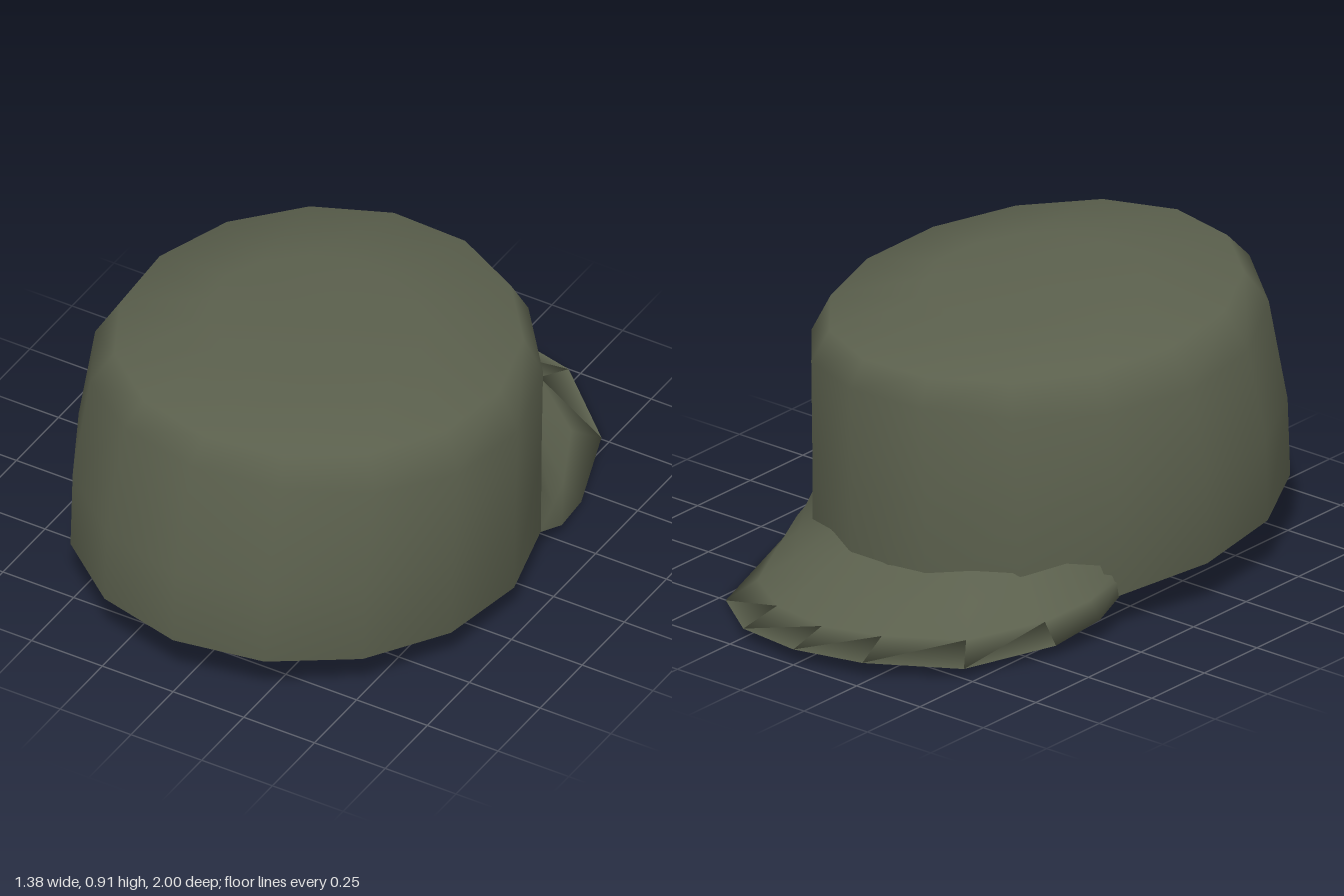
import * as THREE from 'three';
import { mergeVertices } from 'three/addons/utils/BufferGeometryUtils.js';

const SIDES = 15;
const TILT = -0.035; // the cap sits slightly lower on its left

// Skin a list of equal-length rows of points with smooth normals
function loft(rows, closed) {
  const n = rows[0].length, index = [];
  for (let j = 0; j < rows.length - 1; j++) {
    for (let i = 0; i < (closed ? n : n - 1); i++) {
      const k = (i + 1) % n;
      const a = j * n + i, b = j * n + k, c = b + n, d = a + n;
      index.push(a, b, c, a, c, d);
    }
  }
  let geo = new THREE.BufferGeometry();
  geo.setAttribute('position', new THREE.Float32BufferAttribute(rows.flat(2), 3));
  geo.setIndex(index);
  geo = mergeVertices(geo, 1e-4);
  geo.computeVertexNormals();
  return geo;
}

// Oval ring: half width, front z, back z, x shift, height = a + b*cos + c*cos^2
function ring([rx, front, back, shift, a, b, c]) {
  const pts = [];
  for (let i = 0; i < SIDES; i++) {
    const t = (i / SIDES) * Math.PI * 2, cos = Math.cos(t);
    const x = shift + rx * Math.sin(t);
    const z = (front + back) / 2 + (front - back) / 2 * cos;
    pts.push([x, a + b * cos + c * cos * cos + TILT * x, z]);
  }
  return pts;
}

export function createModel() {
  const group = new THREE.Group();
  const olive = new THREE.MeshStandardMaterial({ color: 0x5b604d });
  const add = (name, geo) => {
    const mesh = new THREE.Mesh(geo, olive);
    mesh.name = name;
    group.add(mesh);
  };

  // Crown: inside ceiling, down the lining, round the rim, up the wall, over the top
  const crown = [
    [0, 0.16, 0.16, 0.01, 0.85, 0, 0],
    [0.57, 0.80, -0.45, 0.02, 0.81, 0.04, 0.015],
    [0.645, 0.89, -0.52, 0.015, 0.69, 0.045, 0.07],
    [0.665, 0.955, -0.53, 0, 0.42, 0.02, 0],
    [0.665, 0.965, -0.53, 0, 0.135, 0.06, 0],
    [0.695, 1.0, -0.565, 0, 0.135, 0.065, 0],
    [0.695, 0.985, -0.565, 0, 0.42, 0.02, 0],
    [0.675, 0.92, -0.56, 0.015, 0.705, 0.045, 0.07],
    [0.605, 0.85, -0.505, 0.02, 0.835, 0.04, 0.015],
    [0.34, 0.49, -0.16, 0.015, 0.885, 0.023, 0],
    [0, 0.16, 0.16, 0.01, 0.88, 0, 0],
  ];
  add('crown', loft(crown.map(ring), true));

  // Brim: outer edge from the middle to one side, mirrored to the other
  const edge = [
    [0, 0.055, -1], [0.235, 0.052, -0.955], [0.47, 0.022, -0.755],
    [0.58, 0.024, -0.45], [0.612, 0.06, -0.28], [0.6, 0.1, -0.17],
  ];
  const rows = [[], [], [], [], [], []];
  for (let s = -5; s <= 5; s++) {
    const m = Math.abs(s), side = Math.sign(s), u = m / 5;
    const t = Math.PI * (1 - m / 15); // follows the back wall of the crown
    const wx = 0.675 * Math.sin(t), wz = 0.2175 + 0.768 * Math.cos(t);
    const [ex, ey, ez] = edge[m];
    const top = 0.185 + 0.06 * u, under = 0.08 + 0.03 * u;
    const put = (row, k, y) => {
      const x = side * THREE.MathUtils.lerp(wx, ex, k);
      rows[row].push([x, y + TILT * x, THREE.MathUtils.lerp(wz, ez, k)]);
    };
    put(0, 0, top);
    put(1, 0.35, THREE.MathUtils.lerp(top, ey, 0.4));
    put(2, 0.7, THREE.MathUtils.lerp(top, ey, 0.75) + 0.02 * u);
    put(3, 1, ey);
    put(4, 0.5, (under + ey) / 2 + 0.012);
    put(5, 0, under);
  }
  add('brim', loft(rows, false));
  return group;
}
